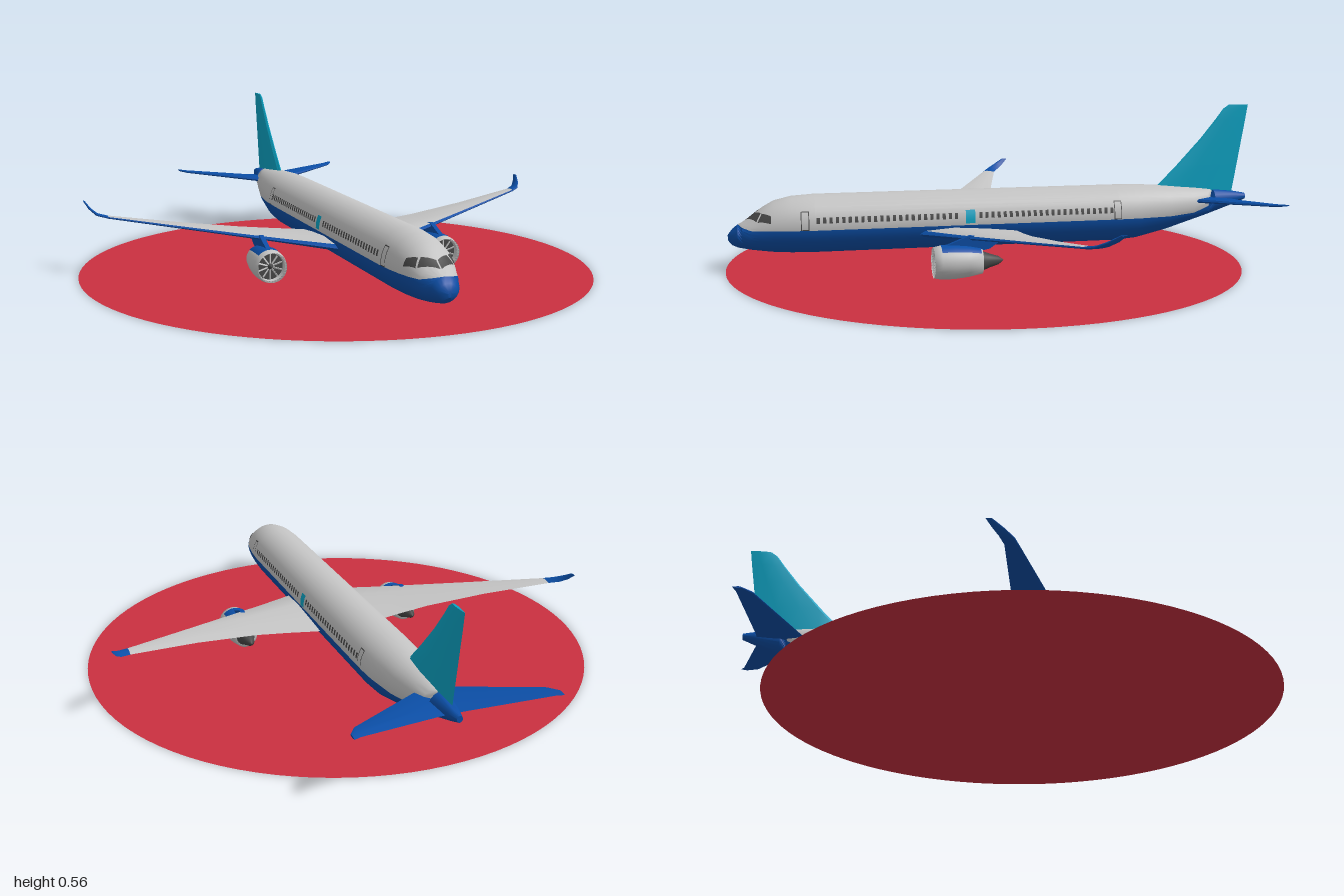
import * as THREE from 'three';
import { mergeGeometries, toCreasedNormals } from 'three/addons/utils/BufferGeometryUtils.js';

const mat = (name, color, side = THREE.FrontSide) => {
  const m = new THREE.MeshStandardMaterial({ color, side });
  m.name = name;
  return m;
};

// Fuselage stations: z, top, bottom, half width, height of the paint line
const STATIONS = [
  [1.0, 0.13, 0.11, 0.008, 0.3], [0.985, 0.15, 0.093, 0.032, 0.3], [0.965, 0.166, 0.084, 0.048, 0.3],
  [0.95, 0.173, 0.081, 0.055, 0.16], [0.92, 0.192, 0.075, 0.068, 0.152], [0.88, 0.224, 0.069, 0.08, 0.152],
  [0.84, 0.246, 0.064, 0.089, 0.152], [0.78, 0.26, 0.06, 0.097, 0.152], [0.7, 0.265, 0.058, 0.102, 0.152],
  [-0.4, 0.265, 0.058, 0.102, 0.152], [-0.48, 0.264, 0.064, 0.098, 0.152], [-0.6, 0.257, 0.092, 0.083, 0.152],
  [-0.7, 0.248, 0.122, 0.061, 0.158], [-0.76, 0.241, 0.14, 0.046, 0.18], [-0.79, 0.237, 0.15, 0.04, 0.3],
  [-0.88, 0.226, 0.18, 0.022, 0.3], [-0.92, 0.218, 0.195, 0.01, 0.3],
];

function stationAt(z) {
  let i = 0;
  while (i < STATIONS.length - 2 && z < STATIONS[i + 1][0]) i++;
  const [a, b] = [STATIONS[i], STATIONS[i + 1]];
  const t = (z - a[0]) / (b[0] - a[0]);
  return a.map((v, k) => v + (b[k] - v) * t);
}

// Skin over closed rings; colourOf(column) picks material 0 or 1
function skin(rings, colourOf, flip = false, crease = 0.7) {
  const n = rings[0].length, sets = [[], []];
  const tri = (k, a, b, c) => sets[k].push(...(flip ? [a, c, b] : [a, b, c]));
  for (let i = 0; i < rings.length - 1; i++) {
    for (let j = 0; j < n; j++) {
      const a = i * n + j, b = i * n + (j + 1) % n;
      tri(colourOf(j), a, a + n, b);
      tri(colourOf(j), b, a + n, b + n);
    }
  }
  const last = (rings.length - 1) * n;
  for (let j = 1; j < n - 1; j++) {
    tri(0, 0, j, j + 1);
    tri(0, last, last + j + 1, last + j);
  }
  const g = new THREE.BufferGeometry();
  g.setAttribute('position', new THREE.Float32BufferAttribute(rings.flat(2), 3));
  g.setIndex([...sets[0], ...sets[1]]);
  g.addGroup(0, sets[0].length, 0);
  g.addGroup(sets[0].length, sets[1].length, 1);
  return toCreasedNormals(g, crease);
}

// Wing section: span x, height y, leading z, trailing z, thickness, tilt
const FOIL = [[0, 0], [0.05, 0.6], [0.35, 1], [0.7, 0.6], [1, 0.04], [0.7, -0.5], [0.35, -0.8], [0.05, -0.5]];
const foilRing = ([x, y, lead, trail, thick, tilt = 0], side = 1) => FOIL.map(([f, h]) => [
  side * (x - Math.sin(tilt) * h * thick / 2), y + Math.cos(tilt) * h * thick / 2, lead + (trail - lead) * f]);
const foil = (sections, side = 1, colourOf = () => 0) =>
  skin(sections.map((s) => foilRing(s, side)), colourOf, side < 0, 0.6);

// Thin plate lying on the fuselage; corners are [z, angle above the side]
function patch(corners, side) {
  const g = new THREE.PlaneGeometry(1, 1, 4, 4), p = g.attributes.position;
  for (let i = 0; i < p.count; i++) {
    const u = p.getX(i) + 0.5, v = p.getY(i) + 0.5;
    const w = [(1 - u) * (1 - v), u * (1 - v), u * v, (1 - u) * v];
    const mix = (k) => corners.reduce((sum, c, q) => sum + c[k] * w[q], 0);
    const z = mix(0), angle = mix(1), [, top, bottom, half] = stationAt(z);
    p.setXYZ(i, side * (half + 0.002) * Math.cos(angle),
      (top + bottom) / 2 + ((top - bottom) / 2 + 0.002) * Math.sin(angle), z);
  }
  if (side < 0) g.setIndex([...g.index.array].reverse());
  g.computeVertexNormals();
  return g;
}
const angleAt = (y) => Math.asin((y - 0.1615) / 0.1035);
const panel = (z, y, w, h, side) => {
  const [a, b] = [angleAt(y - h / 2), angleAt(y + h / 2)];
  return patch([[z + w / 2, a], [z - w / 2, a], [z - w / 2, b], [z + w / 2, b]], side);
};

export function createModel() {
  const pale = mat('pale grey paint', 0xc4c4c4);
  const blue = mat('deep blue paint', 0x0b4ea6);
  const teal = mat('teal paint', 0x0ca5c6, THREE.DoubleSide);
  const dark = mat('dark grey', 0x484848, THREE.DoubleSide);
  const red = mat('red base', 0xca3040, THREE.DoubleSide);

  const model = new THREE.Group();
  model.name = 'airliner on disc';
  const plane = new THREE.Group();
  plane.name = 'airliner';
  plane.position.x = 0.05;
  plane.rotation.y = -Math.PI / 6;
  const add = (parent, name, geometry, material) => {
    const m = new THREE.Mesh(geometry, material);
    m.name = name;
    parent.add(m);
    return m;
  };

  // Base disc
  add(model, 'baseDisc', new THREE.CircleGeometry(0.926, 96).rotateX(-Math.PI / 2), red).position.z = 0.07;
  model.add(plane);

  // Fuselage: upper arc pale, lower arc blue
  const ARC = 20;
  const rings = STATIONS.map(([z, top, bottom, half, line]) => {
    const cy = (top + bottom) / 2, ry = (top - bottom) / 2;
    const a = Math.asin(THREE.MathUtils.clamp((line - cy) / ry, -1, 1));
    return Array.from({ length: 2 * ARC }, (_, j) => {
      const phi = j < ARC ? a + (Math.PI - 2 * a) * j / ARC
        : Math.PI - a + (Math.PI + 2 * a) * (j - ARC) / ARC;
      return [half * Math.cos(phi), cy + ry * Math.sin(phi), z];
    });
  });
  add(plane, 'fuselage', skin(rings, (j) => (j < ARC ? 1 : 0)), [blue, pale]);

  // Tail fin
  add(plane, 'tailFin', foil([
    [0, 0.225, -0.54, -0.868, 0.03], [0, 0.33, -0.645, -0.886, 0.026], [0, 0.43, -0.738, -0.903, 0.021],
    [0, 0.5, -0.795, -0.915, 0.017], [0, 0.54, -0.825, -0.921, 0.014], [0, 0.555, -0.847, -0.924, 0.01],
  ].map((s) => [...s, Math.PI / 2])), teal);

  for (const side of [1, -1]) {
    const tag = side > 0 ? 'left' : 'right';

    // Wing with pale top, blue leading edge and underside
    add(plane, tag + 'Wing', foil([
      [0.02, 0.116, 0.378, -0.013, 0.045], [0.106, 0.125, 0.331, -0.013, 0.04],
      [0.22, 0.138, 0.267, -0.01, 0.03], [0.341, 0.152, 0.2, -0.012, 0.023],
      [0.564, 0.178, 0.076, -0.046, 0.016], [0.81, 0.207, -0.06, -0.108, 0.011],
    ], side, (j) => (j >= 1 && j <= 3 ? 1 : 0)), [blue, pale]);
    add(plane, tag + 'Winglet', foil([
      [0.81, 0.207, -0.06, -0.108, 0.012], [0.845, 0.215, -0.082, -0.13, 0.011, 0.5],
      [0.865, 0.232, -0.115, -0.155, 0.009, 1], [0.879, 0.254, -0.155, -0.177, 0.006, 1.2],
    ], side), blue);

    // Tailplane
    add(plane, tag + 'Tailplane', foil([
      [0, 0.198, -0.675, -0.868, 0.026], [0.05, 0.2, -0.705, -0.873, 0.024],
      [0.325, 0.224, -0.874, -0.93, 0.012], [0.35, 0.227, -0.91, -0.942, 0.008],
    ], side), blue);

    // Engine
    const engine = new THREE.Group();
    engine.name = tag + 'Engine';
    engine.position.set(side * 0.327, 0.072, 0.322);
    plane.add(engine);
    const lathe = (pts, ...arc) => new THREE.LatheGeometry(
      pts.map(([r, y]) => new THREE.Vector2(r, y)), 32, ...arc).rotateX(Math.PI / 2);
    add(engine, 'nacelle', lathe([[0.02, -0.16], [0.043, -0.165], [0.052, -0.12], [0.0575, -0.07],
      [0.057, -0.025], [0.052, 0], [0.047, -0.012], [0.046, -0.04]]), pale);
    add(engine, 'nacelleTopPaint', lathe([[0.0455, -0.16], [0.0535, -0.12], [0.059, -0.07], [0.0585, -0.025]],
      0, Math.PI * 2 / 4).rotateZ(Math.PI * 0.75), blue);
    add(engine, 'exhaustCone', lathe([[0, -0.24], [0.014, -0.222], [0.024, -0.19], [0.036, -0.16]]), dark);
    add(engine, 'intake', new THREE.CircleGeometry(0.047, 32).translate(0, 0, -0.03), dark);
    const blades = [];
    for (let i = 0; i < 10; i++) {
      blades.push(new THREE.BoxGeometry(0.005, 0.034, 0.003).rotateY(0.4)
        .translate(0, 0.027, -0.026).rotateZ(i * Math.PI / 5));
    }
    add(engine, 'fanBlades', mergeGeometries(blades), pale);
    add(engine, 'spinner', new THREE.ConeGeometry(0.012, 0.024, 16).rotateX(Math.PI / 2).translate(0, 0, -0.018), dark);

    // Pylon between engine and wing
    const outline = new THREE.Shape([[0.29, 0.125], [0.2, 0.16], [0.08, 0.15], [0.13, 0.115], [0.2, 0.1]]
      .map(([z, y]) => new THREE.Vector2(z, y)));
    add(plane, tag + 'Pylon', new THREE.ExtrudeGeometry(outline, { depth: 0.016, bevelEnabled: false })
      .rotateY(-Math.PI / 2).translate(side * 0.327 + 0.008, 0, 0), blue);

    // Cabin windows, with a gap at the middle door
    const windows = [];
    for (let z = 0.69; z > -0.37; z -= 0.022) {
      if (Math.abs(z - 0.16) > 0.035) windows.push(panel(z, 0.186, 0.011, 0.02, side));
    }
    add(plane, tag + 'CabinWindows', mergeGeometries(windows), dark);

    // Door outlines and the teal middle door
    const frames = [0.735, -0.39].flatMap((z) => [
      panel(z - 0.013, 0.186, 0.003, 0.062, side), panel(z + 0.013, 0.186, 0.003, 0.062, side),
      panel(z, 0.217, 0.028, 0.003, side), panel(z, 0.155, 0.028, 0.003, side)]);
    add(plane, tag + 'DoorFrames', mergeGeometries(frames), dark);
    add(plane, tag + 'MiddleDoor', panel(0.155, 0.182, 0.034, 0.046, side), teal);

    // Cockpit windows
    const rad = (list) => list.map(([z, deg]) => [z, THREE.MathUtils.degToRad(deg)]);
    add(plane, tag + 'CockpitWindows', mergeGeometries([
      patch(rad([[0.938, 88], [0.9, 37], [0.885, 58], [0.908, 88]]), side),
      patch(rad([[0.896, 33], [0.85, 16], [0.85, 34], [0.881, 53]]), side),
    ]), dark);
  }
  return model;
}
